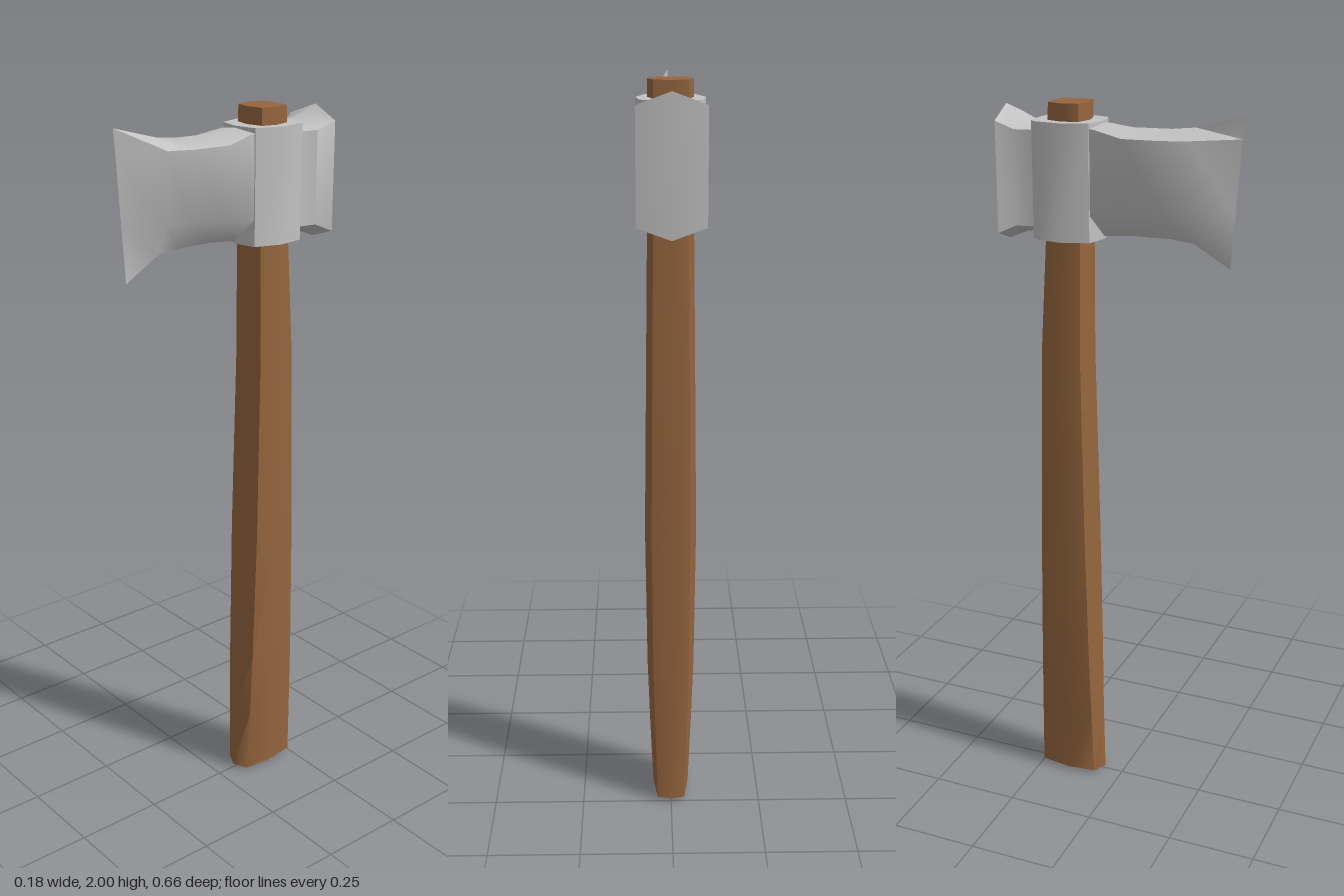
import * as THREE from 'three';
import { toCreasedNormals } from 'three/addons/utils/BufferGeometryUtils.js';

// Skins a list of rings; each ring runs counter-clockwise around the direction of travel.
function loft(rings, startCap, endCap) {
  const pos = [];
  const tri = (a, b, c) => pos.push(...a, ...b, ...c);
  const n = rings[0].length;
  for (let i = 0; i < rings.length - 1; i++) {
    for (let j = 0; j < n; j++) {
      const k = (j + 1) % n;
      const [p, q] = [rings[i], rings[i + 1]];
      tri(p[j], p[k], q[k]);
      tri(p[j], q[k], q[j]);
    }
  }
  const last = rings[rings.length - 1];
  for (let j = 0; j < n; j++) {
    const k = (j + 1) % n;
    if (startCap) tri(startCap, rings[0][k], rings[0][j]);
    if (endCap) tri(endCap, last[j], last[k]);
  }
  const g = new THREE.BufferGeometry();
  g.setAttribute('position', new THREE.Float32BufferAttribute(pos, 3));
  return toCreasedNormals(g, 1.0);
}

// Eight-sided handle section: half width, front z, back z
function handleRing([y, w, front, back]) {
  const z = (t) => front + (back - front) * t;
  return [[0, y, z(0)], [w * 0.81, y, z(0.1)], [w, y, z(0.5)], [w * 0.75, y, z(0.95)],
    [0, y, z(1)], [-w * 0.75, y, z(0.95)], [-w, y, z(0.5)], [-w * 0.81, y, z(0.1)]];
}

// Six-sided head section: centre line top and bottom, shoulders at two heights.
// zs holds the z of the top, upper shoulders, lower shoulders and bottom.
function headRing({ z, zs = [z, z, z, z], top, up, low, bottom, w, wl = w }) {
  return [[w, up, zs[1]], [0, top, zs[0]], [-w, up, zs[1]],
    [-wl, low, zs[2]], [0, bottom, zs[3]], [wl, low, zs[2]]];
}

export function createModel() {
  const wood = new THREE.MeshStandardMaterial({ color: 0x96663e });
  wood.name = 'wood';
  const steel = new THREE.MeshStandardMaterial({ color: 0xc2c2c2 });
  steel.name = 'steel';

  const axe = new THREE.Group();
  axe.name = 'axe';
  const add = (name, geometry, material) => {
    const mesh = new THREE.Mesh(geometry, material);
    mesh.name = name;
    axe.add(mesh);
  };

  // Handle, swelling in the middle and flaring front to back at the foot
  const handle = [
    [0.01, 0.05, -0.055, -0.255],
    [0.2, 0.058, -0.061, -0.25],
    [0.4, 0.065, -0.066, -0.245],
    [0.8, 0.07, -0.076, -0.236],
    [1.32, 0.064, -0.088, -0.225],
    [1.65, 0.06, -0.088, -0.205],
    [2.0, 0.058, -0.09, -0.192],
  ].map(handleRing);
  add('handle', loft(handle, [0, 0, -0.155], [0, 2, -0.14]), wood);

  // Collar around the handle
  const half = [[0.065, -0.065], [0.088, -0.14], [0.078, -0.21], [0.06, -0.228]];
  const outline = [[0, -0.05], ...half, [0, -0.232],
    ...half.map(([x, z]) => [-x, z]).reverse()];
  const collar = [1.65, 1.955].map((y) => outline.map(([x, z]) => [x, y, z]));
  add('collar', loft(collar, [0, 1.65, -0.14], [0, 1.955, -0.14]), steel);

  // Blade, from inside the collar to the cutting edge
  const blade = [
    { z: -0.1, top: 1.952, up: 1.945, low: 1.72, bottom: 1.655, w: 0.06 },
    { z: -0.05, top: 1.95, up: 1.94, low: 1.72, bottom: 1.657, w: 0.063 },
    { z: 0.03, top: 1.943, up: 1.925, low: 1.73, bottom: 1.664, w: 0.08, wl: 0.06 },
    { z: 0.135, top: 1.945, up: 1.925, low: 1.74, bottom: 1.665, w: 0.073, wl: 0.055 },
    { z: 0.2, top: 1.952, up: 1.925, low: 1.74, bottom: 1.658, w: 0.048, wl: 0.038 },
    { zs: [0.327, 0.322, 0.31, 0.3], top: 1.987, up: 1.93, low: 1.74, bottom: 1.6, w: 0 },
  ].map(headRing);
  add('blade', loft(blade, [0, 1.8, -0.1], null), steel);

  // Flared poll at the back, with a shallow ridge down its face
  const poll = [
    { zs: [-0.328, -0.318, -0.318, -0.328], top: 1.985, up: 1.952, low: 1.66, bottom: 1.63, w: 0.088 },
    { z: -0.275, top: 1.965, up: 1.93, low: 1.68, bottom: 1.652, w: 0.068 },
    { z: -0.23, top: 1.945, up: 1.93, low: 1.68, bottom: 1.66, w: 0.061 },
    { z: -0.2, top: 1.945, up: 1.93, low: 1.68, bottom: 1.66, w: 0.06 },
  ].map(headRing);
  add('poll', loft(poll, [0, 1.8, -0.33], [0, 1.8, -0.2]), steel);

  return axe;
}
